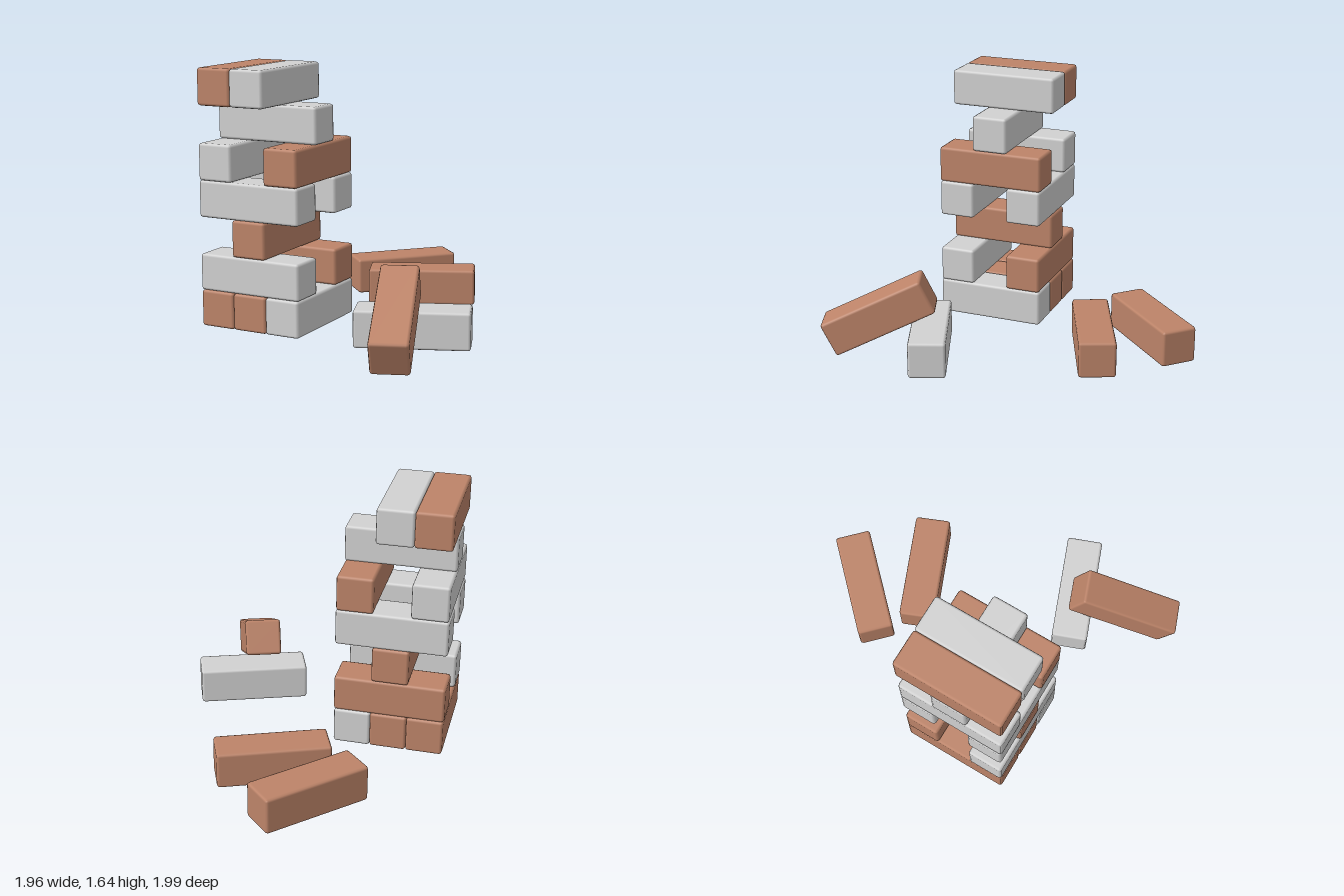
import * as THREE from 'three';
import { RoundedBoxGeometry } from 'three/addons/geometries/RoundedBoxGeometry.js';

const LENGTH = 0.708, WIDTH = 0.235, PITCH = 0.2335;

export function createModel() {
  const model = new THREE.Group();
  model.name = 'blockTower';

  const brown = new THREE.MeshStandardMaterial({ color: 0xbd8469 });
  brown.name = 'brownWood';
  const grey = new THREE.MeshStandardMaterial({ color: 0xd2d2d2 });
  grey.name = 'paleGrey';

  // One softly rounded block, long axis on z
  const blockGeometry = new RoundedBoxGeometry(WIDTH, WIDTH, LENGTH, 1, 0.018);

  function addBlock(parent, name, material, position, yaw = 0, pitch = 0) {
    const block = new THREE.Mesh(blockGeometry, material);
    block.name = name;
    block.position.set(...position);
    block.rotation.set(pitch, yaw, 0, 'YXZ');
    parent.add(block);
  }

  // Standing tower: three slots per layer, null where a block was removed
  const layers = [
    [brown, brown, grey],
    [brown, null, grey],
    [null, brown, null],
    [grey, null, grey],
    [grey, null, brown],
    [null, grey, null],
    [brown, grey, null],
  ];
  const tower = new THREE.Group();
  tower.name = 'tower';
  tower.position.set(-0.515, 0.003, 0.525);
  tower.rotation.y = 0.425;
  model.add(tower);

  layers.forEach((slots, level) => {
    const crosswise = level % 2 === 1; // layers alternate direction
    slots.forEach((material, slot) => {
      if (!material) return;
      const offset = (slot - 1) * PITCH;
      const y = (level + 0.5) * PITCH;
      addBlock(tower, `layer${level + 1}Block${slot + 1}`, material,
        crosswise ? [0, y, offset] : [offset, y, 0],
        crosswise ? Math.PI / 2 : 0);
    });
  });

  // Fallen blocks lying on the ground
  const flatY = 0.12;
  addBlock(model, 'fallenBackOuter', brown, [-0.683, flatY, -0.637], -0.35);
  addBlock(model, 'fallenBackInner', brown, [-0.287, flatY, -0.49], -0.75);
  addBlock(model, 'fallenSide', grey, [0.47, flatY, 0.22], -0.78);

  // Fallen block propped on the grey one
  addBlock(model, 'leaningBlock', brown, [0.65, 0.2575, 0.505], 0.78, 0.45);

  return model;
}
